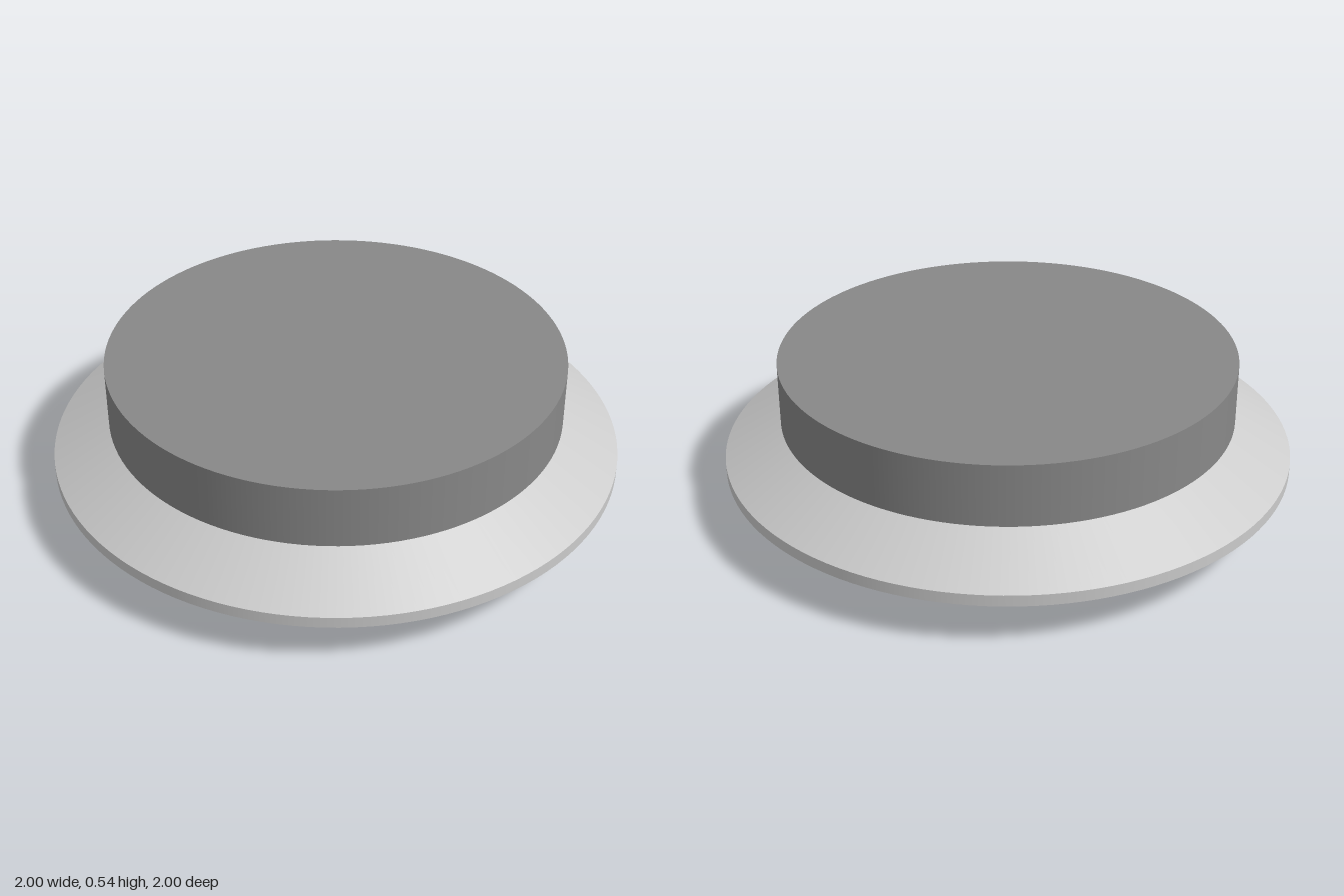
import * as THREE from 'three';

const SEGMENTS = 128;

// Surface of revolution with crisp edges: each profile span is its own smooth band
function addTurned(parent, name, profile, material) {
  const part = new THREE.Group();
  part.name = name;
  for (let i = 0; i < profile.length - 1; i++) {
    const span = [profile[i], profile[i + 1]].map(([r, y]) => new THREE.Vector2(r, y));
    const band = new THREE.Mesh(new THREE.LatheGeometry(span, SEGMENTS), material);
    band.name = `${name}Band${i + 1}`;
    part.add(band);
  }
  parent.add(part);
}

export function createModel() {
  const model = new THREE.Group();
  model.name = 'flangedDisc';
  const coreMaterial = new THREE.MeshStandardMaterial({ color: 0x888888 });
  const rimMaterial = new THREE.MeshStandardMaterial({ color: 0xcccccc });

  // Solid core with a chamfered foot
  addTurned(model, 'core', [[0, 0], [0.73, 0], [0.8, 0.04], [0.8, 0.54], [0, 0.54]], coreMaterial);

  // Bevelled rim around the core
  addTurned(model, 'rim', [[0.8, 0.04], [1, 0.16], [1, 0.2], [0.8, 0.32]], rimMaterial);

  return model;
}
